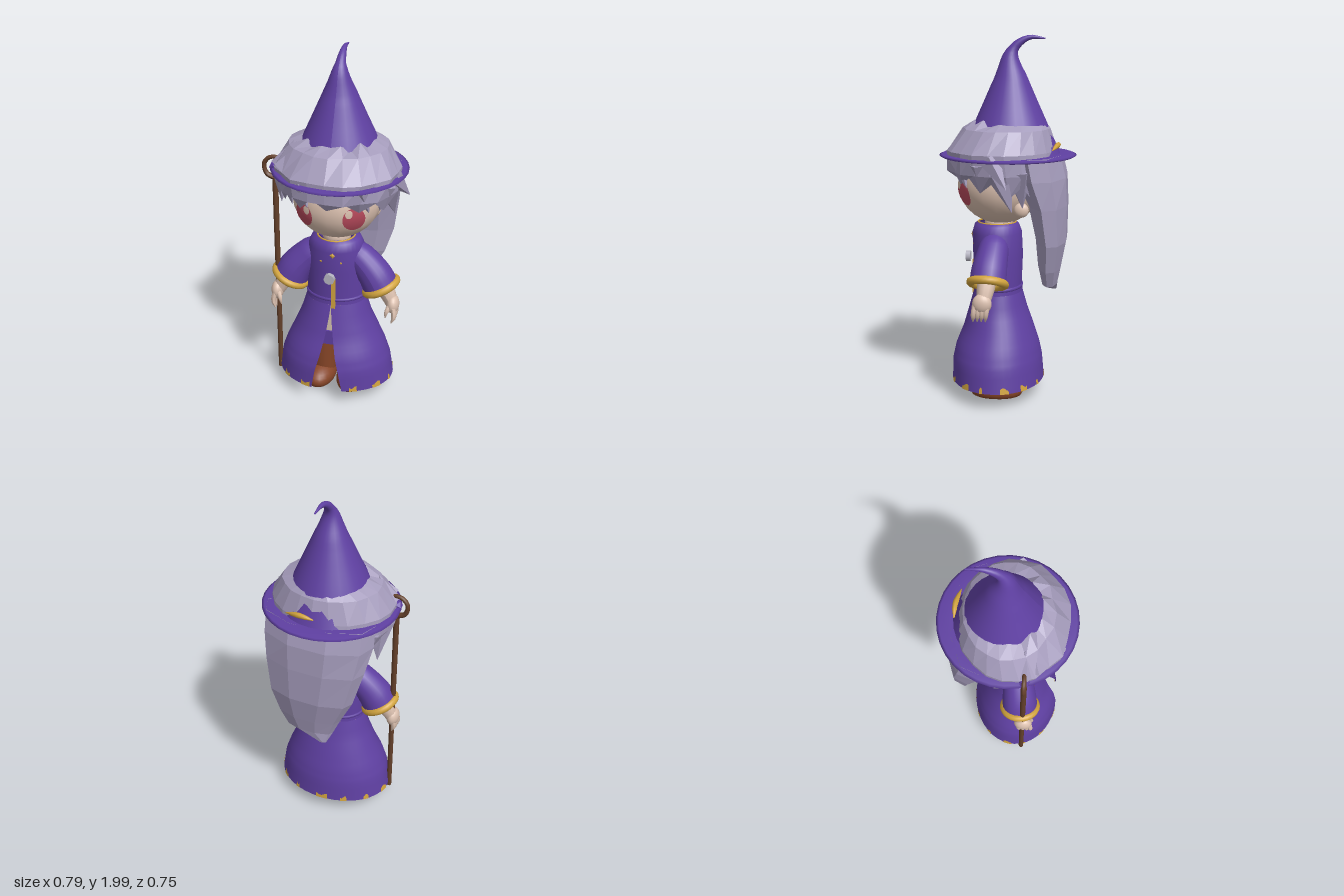
import * as THREE from 'three';
import { mergeVertices } from 'three/addons/utils/BufferGeometryUtils.js';

const V = (x, y, z) => new THREE.Vector3(x, y, z);
const mat = (name, color, flat = false) =>
  new THREE.MeshStandardMaterial({ name, color, flatShading: flat, side: THREE.DoubleSide });

// Grid surface from a rule f(u, v), both 0..1
function surface(nu, nv, f) {
  const pos = [], idx = [];
  for (let j = 0; j <= nv; j++)
    for (let i = 0; i <= nu; i++) pos.push(...f(i / nu, j / nv).toArray());
  for (let j = 0; j < nv; j++)
    for (let i = 0; i < nu; i++) {
      const a = j * (nu + 1) + i, b = a + nu + 1;
      idx.push(a, b, a + 1, b, b + 1, a + 1);
    }
  let g = new THREE.BufferGeometry();
  g.setAttribute('position', new THREE.Float32BufferAttribute(pos, 3));
  g.setIndex(idx);
  g = mergeVertices(g, 1e-5);
  g.computeVertexNormals();
  return g;
}

// Linear lookup in a list of rows (t = 0..1 along the list)
function rowAt(rows, t) {
  const f = t * (rows.length - 1), i = Math.min(Math.floor(f), rows.length - 2);
  return rows[i].map((a, k) => a + (rows[i + 1][k] - a) * (f - i));
}

// Round tube along points, with evenly spaced radii
function taperTube(points, radii, seg = 16, sides = 20) {
  const curve = new THREE.CatmullRomCurve3(points.map(p => V(...p)));
  const g = new THREE.TubeGeometry(curve, seg, 1, sides);
  const p = g.attributes.position, v = V(0, 0, 0);
  for (let i = 0; i < p.count; i++) {
    const t = Math.floor(i / (sides + 1)) / seg, c = curve.getPointAt(t);
    v.fromBufferAttribute(p, i).sub(c).multiplyScalar(rowAt(radii.map(r => [r]), t)[0]).add(c);
    p.setXYZ(i, v.x, v.y, v.z);
  }
  g.computeVertexNormals();
  return g;
}

// Coat outline rows: y, half width, half depth, centre z
const COAT = [[0.99, 0.1, 0.1, 0.06], [0.975, 0.135, 0.122, 0.062], [0.93, 0.155, 0.137, 0.06], [0.8, 0.168, 0.138, 0.055],
  [0.65, 0.165, 0.132, 0.055], [0.6, 0.17, 0.135, 0.055]];
const SKIRT = [[0.6, 0.17, 0.135, 0.055], [0.5, 0.2, 0.163, 0.055], [0.4, 0.242, 0.195, 0.052],
  [0.3, 0.287, 0.232, 0.057], [0.22, 0.315, 0.25, 0.058], [0.1, 0.333, 0.257, 0.055]];
const HEAD = V(0, 1.2, 0.04), HEAD_R = V(0.242, 0.22, 0.235);

const oval = ([y, rx, rz, cz], a, k = 1) => V(rx * k * Math.sin(a), y, cz + rz * k * Math.cos(a));

export function createModel() {
  const purple = mat('purple cloth', 0x5f40a2), gold = mat('gold trim', 0xd3a53e);
  const hairMat = mat('lilac grey hair', 0xa69dbd, true), skin = mat('skin', 0xdcc1b0);
  const red = mat('red iris', 0xb84a5c), boot = mat('boot leather', 0x864527);
  const wood = mat('staff wood', 0x64402a), grey = mat('silver', 0xb6b5c2), cream = mat('trousers', 0xc9b8a4);

  const model = new THREE.Group();
  model.name = 'wizard';
  const add = (name, geo, material, x = 0, y = 0, z = 0) => {
    const m = new THREE.Mesh(geo, material);
    m.name = name;
    m.position.set(x, y, z);
    model.add(m);
    return m;
  };
  const ball = (name, material, rx, ry, rz, x, y, z) =>
    add(name, new THREE.SphereGeometry(1, 20, 14).scale(rx, ry, rz), material, x, y, z);

  // Hat: pointed crown with bent tip, thin brim, feather
  add('hatCrown', taperTube(
    [[0, 1.36, -0.015], [0, 1.55, -0.015], [0, 1.74, -0.015], [0, 1.89, -0.015], [0, 1.945, -0.045], [0, 1.986, -0.115], [0, 1.98, -0.2]],
    [0.274, 0.232, 0.19, 0.147, 0.105, 0.063, 0.027, 0.014, 0.004], 32, 28), purple);
  add('hatBrim', new THREE.LatheGeometry([[0.01, 0.012], [0.3, 0.01], [0.36, 0.006], [0.374, 0], [0.36, -0.008], [0.01, -0.008]]
    .map(p => new THREE.Vector2(...p)), 32), purple, 0.003, 1.36, 0);
  add('feather', taperTube([[-0.02, 1.415, -0.277], [0.06, 1.42, -0.274], [0.15, 1.4, -0.25]],
    [0.003, 0.012, 0.015, 0.011, 0.002], 12, 8), gold);

  // Hair cap: rings of y, half width, half depth, centre z, with jagged top front and bottom
  const CAP = [[1.54, 0.18, 0.19, -0.01], [1.505, 0.27, 0.235, 0.005], [1.39, 0.342, 0.3, 0.032],
    [1.28, 0.335, 0.305, 0.02], [1.2, 0.3, 0.265, 0.01]];
  const N = 22;
  add('hairCap', surface(N, 4, (u, v) => {
    const i = Math.round(u * N) % N, a = i / N * Math.PI * 2, j = Math.round(v * 4), row = [...CAP[j]];
    const front = Math.max(Math.cos(a), 0), zig = i % 2 ? 1 : -1, wob = Math.sin(i * 2.7 + j * 1.9);
    if (j === 0) row[0] += 0.025 * wob * front;
    if (j === 4) row[0] += 0.045 * Math.cos(a) + 0.028 * zig + 0.012 * wob;
    return oval(row, a, 1 + (0.01 + 0.025 * front) * wob);
  }), hairMat);

  // Loose locks: root, tip, thickness
  const locks = [
    [[-0.28, 1.36, 0.12], [-0.29, 1.17, 0.12], 0.06], [[0.3, 1.36, 0.06], [0.385, 1.22, -0.03], 0.06],
    [[0.27, 1.3, 0.02], [0.3, 1.09, -0.05], 0.08], [[-0.27, 1.3, 0], [-0.29, 1.1, -0.06], 0.08],
    [[-0.15, 1.36, 0.25], [-0.1, 1.23, 0.28], 0.06], [[0.17, 1.36, 0.24], [0.21, 1.2, 0.2], 0.06],
    [[0.27, 1.34, 0.12], [0.25, 1.18, 0.12], 0.07], [[-0.22, 1.36, 0.2], [-0.21, 1.2, 0.19], 0.06],
    [[0.25, 1.3, -0.08], [0.23, 1.1, -0.1], 0.08], [[-0.25, 1.3, -0.08], [-0.23, 1.1, -0.1], 0.08],
    [[-0.29, 1.38, 0.1], [-0.22, 1.53, 0.1], 0.06], [[-0.26, 1.38, 0.16], [-0.16, 1.54, 0.12], 0.06]];
  for (const [from, to, r] of locks) {
    const a = V(...from), d = V(...to).sub(a);
    const lock = add('hairLock', new THREE.ConeGeometry(r, d.length(), 5), hairMat);
    lock.position.copy(a).addScaledVector(d, 0.5);
    lock.quaternion.setFromUnitVectors(V(0, 1, 0), d.normalize());
  }

  // Long back hair: rows of y, right x, left x, front z, back z
  const BACK = [[1.37, -0.31, 0.32, -0.01, -0.3], [1.25, -0.31, 0.32, -0.03, -0.33], [1.1, -0.28, 0.3, -0.11, -0.335],
    [0.9, -0.225, 0.27, -0.155, -0.33], [0.75, -0.15, 0.22, -0.17, -0.3], [0.66, -0.11, 0.17, -0.19, -0.28], [0.6, -0.08, -0.03, -0.24, -0.27]];
  add('backHair', surface(9, 6, (u, v) => {
    const [y, l, r, f, b] = rowAt(BACK, v), a = (u % 1) * Math.PI * 2;
    return V((l + r) / 2 + (r - l) / 2 * Math.sin(a), y, (f + b) / 2 + (f - b) / 2 * Math.cos(a));
  }), hairMat);

  // Head, ears and painted eyes
  ball('head', skin, HEAD_R.x, HEAD_R.y, HEAD_R.z, HEAD.x, HEAD.y, HEAD.z);
  ball('neck', skin, 0.08, 0.07, 0.08, 0, 0.98, 0.05);
  const patch = (cx, cy, rx, ry, lift) => surface(24, 5, (u, v) => {
    const a = (u % 1) * Math.PI * 2, x = cx + rx * v * Math.cos(a), y = cy + ry * v * Math.sin(a);
    const q = 1 - (x / HEAD_R.x) ** 2 - ((y - HEAD.y) / HEAD_R.y) ** 2;
    return V(x, y, HEAD.z + HEAD_R.z * Math.sqrt(Math.max(q, 0)) + lift);
  });
  for (const s of [-1, 1]) {
    ball('ear', skin, 0.025, 0.04, 0.04, s * 0.19, 1.085, -0.09);
    add('eye', patch(s * 0.135, 1.167, 0.053, 0.07, 0.005), red);
    add('eyeGlint', patch(s * 0.115, 1.205, 0.018, 0.024, 0.008), skin);
  }

  // Coat: torso, open-fronted skirt, hem trim
  add('coatTorso', surface(32, COAT.length - 1, (u, v) => oval(rowAt(COAT, v), (u % 1) * Math.PI * 2)), purple);
  add('coatSkirt', surface(40, 15, (u, v) => {
    const gap = 0.27 * v;
    return oval(rowAt(SKIRT, v), gap + u * (Math.PI * 2 - 2 * gap));
  }), purple);
  add('hemLining', surface(40, 1, (u, v) => oval(rowAt(SKIRT, 0.95 + v * 0.05), 0.28 + u * (Math.PI * 2 - 0.56), 0.985)), gold);
  for (let i = 0; i < 13; i++) {
    const a = 0.4 + i * 0.45, w = 0.14 + 0.07 * Math.sin(i * 2.3);
    add('hemPatch', surface(4, 1, (u, v) => oval(rowAt(SKIRT, 0.955 + 0.015 * Math.sin(i + u * 5) * (1 - v) + v * 0.045), a + u * w, 1.01)), gold);
  }
  add('waistFold', new THREE.TorusGeometry(1, 0.04, 8, 32).rotateX(Math.PI / 2).scale(0.167, 0.25, 0.133), purple, 0, 0.63, 0.055);
  add('collarTrim', new THREE.TorusGeometry(0.104, 0.005, 6, 28).rotateX(Math.PI / 2), gold, 0, 0.986, 0.06);
  add('placket', new THREE.BoxGeometry(0.022, 0.19, 0.009), gold, 0.014, 0.675, 0.192);
  for (const [x, y, z, r] of [[0.01, 0.915, 0.197, 0.016], [-0.055, 0.87, 0.186, 0.009], [0.055, 0.87, 0.186, 0.009]])
    add('coatStud', new THREE.OctahedronGeometry(r).scale(1, 1, 0.35), gold, x, y, z);
  add('brooch', new THREE.CylinderGeometry(0.031, 0.031, 0.025, 8).rotateX(Math.PI / 2), grey, 0, 0.785, 0.222);

  for (const s of [-1, 1]) {
    // Sleeve, cuff and hand
    add('sleeve', taperTube([[s * 0.08, 0.905, 0.06], [s * 0.16, 0.835, 0.068], [s * 0.225, 0.76, 0.078], [s * 0.262, 0.69, 0.083]],
      [0.065, 0.083, 0.09, 0.097, 0.1]), purple);
    const cuff = add('cuff', new THREE.TorusGeometry(0.093, 0.022, 10, 28), gold, s * 0.26, 0.698, 0.083);
    cuff.quaternion.setFromUnitVectors(V(0, 0, 1), V(s * 0.45, -0.89, 0.05).normalize());
    add('forearm', taperTube([[s * 0.25, 0.74, 0.083], [s * 0.295, 0.67, 0.09], [s * 0.33, 0.6, 0.1]], [0.055, 0.048, 0.035], 6, 12), skin);
    ball('palm', skin, 0.036, 0.055, 0.052, s * 0.333, 0.605, 0.105);
    for (let f = 0; f < 4; f++) {
      const z = 0.075 + f * 0.022;
      add('finger', taperTube([[s * 0.34, 0.6, z], [s * 0.348, 0.55, z + 0.008], [s * 0.335, 0.507, z + 0.012]],
        [0.015, 0.015, 0.013, 0.003], 8, 8), skin);
    }
    add('thumb', taperTube([[s * 0.325, 0.62, 0.13], [s * 0.305, 0.57, 0.155], [s * 0.3, 0.535, 0.15]], [0.014, 0.013, 0.003], 8, 8), skin);

    // Legs and boots with flat soles
    add('trouserLeg', new THREE.CylinderGeometry(0.075, 0.07, 0.28, 14), cream, s * 0.07, 0.45, 0.05);
    add('bootShaft', new THREE.CylinderGeometry(0.08, 0.07, 0.26, 16), boot, s * 0.082, 0.18, 0.04);
    const foot = new THREE.SphereGeometry(1, 24, 16).scale(0.09, 0.075, 0.148), p = foot.attributes.position;
    for (let i = 0; i < p.count; i++) p.setY(i, Math.max(p.getY(i), -0.035));
    foot.computeVertexNormals();
    add('bootFoot', foot, boot, s * 0.094, 0.045, 0.055);
  }
  add('tunicFlap', new THREE.BoxGeometry(0.12, 0.09, 0.009), purple, 0, 0.345, 0.14);

  // Staff with curled head and gem
  add('staffPole', new THREE.CylinderGeometry(0.016, 0.014, 1.3, 10), wood, -0.33, 0.72, 0.1);
  add('staffHook', taperTube([[-0.33, 1.3, 0.1], [-0.375, 1.32, 0.1], [-0.39, 1.375, 0.1], [-0.36, 1.415, 0.1], [-0.31, 1.42, 0.1], [-0.275, 1.395, 0.1], [-0.285, 1.365, 0.1]],
    [0.016, 0.013, 0.012, 0.011, 0.006], 28, 8), wood);
  add('staffGem', new THREE.IcosahedronGeometry(0.032, 0), purple, -0.33, 1.365, 0.1);
  return model;
}
